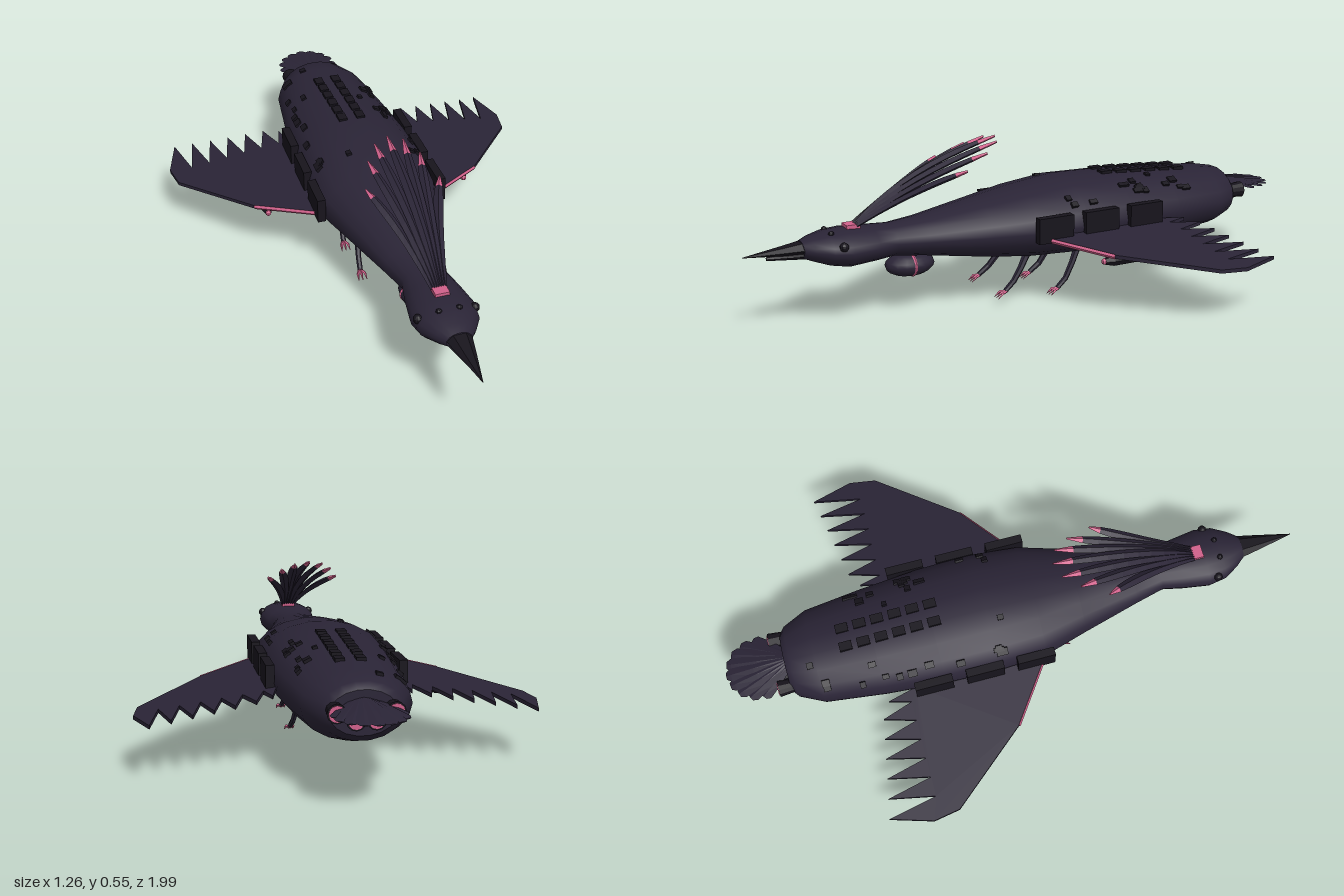
import * as THREE from 'three';

const mat = (color, flat = true) => new THREE.MeshStandardMaterial({ color, flatShading: flat, side: THREE.DoubleSide });
const plumage = mat(0x2a2436), smoothPlumage = mat(0x2a2436, false);
const dark = mat(0x17141c), pink = mat(0xd0608a);
const V = (x, y, z) => new THREE.Vector3(x, y, z);

function add(parent, name, geometry, material, x = 0, y = 0, z = 0) {
  const mesh = new THREE.Mesh(geometry, material);
  mesh.name = name;
  mesh.position.set(x, y, z);
  parent.add(mesh);
  return mesh;
}

// Skin a list of rings (counter-clockwise about the direction of travel), with end caps
function loft(rings) {
  const n = rings[0].length, pos = [], idx = [];
  rings.forEach(r => r.forEach(p => pos.push(p.x, p.y, p.z)));
  for (let i = 0; i < rings.length - 1; i++) {
    for (let j = 0; j < n; j++) {
      const a = i * n + j, b = i * n + (j + 1) % n;
      idx.push(a, b, b + n, a, b + n, a + n);
    }
  }
  [0, rings.length - 1].forEach((row, end) => {
    const base = pos.length / 3;
    rings[row].forEach(p => pos.push(p.x, p.y, p.z));
    for (let j = 1; j < n - 1; j++) {
      if (end) idx.push(base, base + j, base + j + 1);
      else idx.push(base, base + j + 1, base + j);
    }
  });
  const g = new THREE.BufferGeometry();
  g.setAttribute('position', new THREE.Float32BufferAttribute(pos, 3));
  g.setIndex(idx);
  g.computeVertexNormals();
  return g;
}

// Sweep an elliptical section along points; sizes are [halfWidth, halfHeight] per point
function sweep(points, sizes, sides = 4) {
  return loft(points.map((p, i) => {
    const t = points[Math.min(i + 1, points.length - 1)].clone().sub(points[Math.max(i - 1, 0)]).normalize();
    const u = V(0, 1, 0).cross(t).normalize(), v = t.clone().cross(u);
    return Array.from({ length: sides }, (_, j) => {
      const a = j / sides * Math.PI * 2;
      return p.clone().addScaledVector(u, Math.cos(a) * sizes[i][0]).addScaledVector(v, Math.sin(a) * sizes[i][1]);
    });
  }));
}

// Body sections from tail to head: z, half width, bottom, top
const SECTIONS = [
  [-0.8, 0.1, 0.19, 0.325], [-0.78, 0.125, 0.17, 0.345], [-0.7, 0.165, 0.148, 0.36], [-0.5, 0.19, 0.133, 0.375],
  [-0.3, 0.207, 0.127, 0.388], [-0.12, 0.212, 0.127, 0.392], [0.05, 0.2, 0.137, 0.372], [0.2, 0.155, 0.155, 0.348],
  [0.4, 0.1, 0.187, 0.315], [0.5, 0.075, 0.2, 0.306], [0.57, 0.09, 0.195, 0.309], [0.66, 0.104, 0.19, 0.314],
  [0.72, 0.095, 0.203, 0.31], [0.77, 0.065, 0.222, 0.3], [0.8, 0.04, 0.235, 0.29]
];
function sectionAt(z) {
  const i = Math.max(1, SECTIONS.findIndex(s => s[0] >= z));
  const a = SECTIONS[i - 1], b = SECTIONS[i], t = (z - a[0]) / (b[0] - a[0]);
  return a.map((v, k) => v + (b[k] - v) * t);
}
function hullPoint(z, angle) {
  const [, w, lo, hi] = sectionAt(z);
  return V(Math.cos(angle) * w, (lo + hi) / 2 + Math.sin(angle) * (hi - lo) / 2, z);
}

function buildBody(g) {
  const rings = SECTIONS.map(s => Array.from({ length: 18 }, (_, j) => hullPoint(s[0], j / 18 * Math.PI * 2)));
  add(g, 'body', loft(rings), smoothPlumage);

  // Beak, long above and short below
  add(g, 'upperBeak', sweep([V(0, 0.267, 0.79), V(0, 0.265, 0.86), V(0, 0.262, 0.985)], [[0.042, 0.022], [0.028, 0.014], [0.001, 0.001]], 6), dark);
  add(g, 'lowerBeak', sweep([V(0, 0.247, 0.79), V(0, 0.247, 0.91)], [[0.036, 0.016], [0.006, 0.006]], 6), dark);

  // Crop pod under the neck with a glowing band
  add(g, 'cropPod', new THREE.SphereGeometry(1, 16, 10), smoothPlumage, 0, 0.16, 0.435).scale.set(0.058, 0.04, 0.085);
  add(g, 'cropBand', new THREE.TorusGeometry(1, 0.06, 4, 20), pink, 0, 0.16, 0.435).scale.set(0.057, 0.04, 0.08);

  // Two rows of roof windows
  for (const x of [-0.032, 0.032]) {
    for (let i = 0; i < 6; i++) {
      const z = -0.59 + i * 0.06;
      add(g, 'roofWindow', new THREE.BoxGeometry(0.03, 0.012, 0.042), dark, x, sectionAt(z)[3] - 0.001, z);
    }
  }

  // Small plates scattered over the back
  let seed = 7;
  const rnd = () => (seed = (seed * 16807) % 2147483647) / 2147483647;
  for (let i = 0; i < 28; i++) {
    const side = i % 2 ? 1 : -1, angle = Math.PI / 2 - side * (0.35 + rnd() * 0.7), z = -0.72 + rnd() * 0.7;
    const p = hullPoint(z, angle);
    const plate = add(g, 'backPlate', new THREE.BoxGeometry(0.014 + rnd() * 0.012, 0.012, 0.015 + rnd() * 0.025), dark, p.x, p.y, p.z);
    plate.rotation.z = (angle - Math.PI / 2) * 0.7;
  }
}

function buildCrest(g) {
  add(g, 'crestBase', new THREE.BoxGeometry(0.046, 0.016, 0.045), pink, 0, 0.315, 0.632);
  for (let i = -3; i <= 3; i++) {
    const k = Math.abs(i) / 3, s = Math.sign(i);
    const tip = V(0.122 * s * Math.pow(k, 0.85), 0.55 - 0.075 * k * k, 0.12 + 0.16 * k * k);
    const curve = new THREE.QuadraticBezierCurve3(V(i * 0.007, 0.318, 0.62), V(i * 0.016, 0.475 - 0.06 * k, 0.45), tip);
    const pts = curve.getPoints(10);
    const sizes = [0.006, 0.009, 0.011, 0.013, 0.014, 0.015, 0.016, 0.016, 0.015, 0.012, 0.003].map(w => [w, w * 0.45 + 0.003]);
    add(g, 'crestFeather', sweep(pts.slice(0, 10), sizes.slice(0, 10)), plumage);
    add(g, 'crestTip', sweep(pts.slice(9), sizes.slice(9)), pink);
  }
}

function buildTail(g) {
  // Flat feather fan
  for (let i = -4; i <= 4; i++) {
    const a = i * 0.165, len = 0.235 - 0.0045 * i * i;
    const at = t => V(Math.sin(a) * len * t, 0.303 - 0.028 * t - Math.abs(i) * 0.0008, -0.765 - Math.cos(a) * len * t);
    add(g, 'tailFeather', sweep([at(0), at(0.6), at(0.93), at(1)], [[0.01, 0.004], [0.022, 0.004], [0.023, 0.003], [0.012, 0.002]]), plumage);
  }
  // Row of thrusters with glowing mouths
  for (const x of [-0.084, -0.029, 0.029, 0.084]) {
    const y = Math.abs(x) > 0.05 ? 0.268 : 0.245;
    const shell = add(g, 'thruster', new THREE.CylinderGeometry(0.022, 0.029, 0.07, 12), dark, x, y, -0.805);
    shell.rotation.x = Math.PI / 2;
    const glow = add(g, 'thrusterGlow', new THREE.CylinderGeometry(0.024, 0.024, 0.006, 12), pink, x, y, -0.84);
    glow.rotation.x = Math.PI / 2;
  }
}

// Everything that exists once on each side
function buildSide() {
  const g = new THREE.Group();
  const wingY = x => 0.237 - (x - 0.2) * 0.135;

  // Wing outline with pointed trailing feathers
  const outline = [[0.14, 0.08], [0.2, 0.045], [0.4, -0.1], [0.615, -0.36], [0.63, -0.45]];
  for (let i = 0; i < 6; i++) {
    const x = 0.588 - i * 0.064;
    outline.push([x, -0.59 + i * 0.012], [x - 0.034, -0.425]);
  }
  outline.push([0.215, -0.5], [0.19, -0.4], [0.14, -0.4]);
  const shape = new THREE.Shape(outline.map(([x, z]) => new THREE.Vector2(x, -z)));
  const wing = new THREE.ExtrudeGeometry(shape, { depth: 0.012, bevelEnabled: false }).rotateX(-Math.PI / 2);
  const p = wing.attributes.position;
  for (let i = 0; i < p.count; i++) p.setY(i, p.getY(i) - 0.006 + wingY(p.getX(i)));
  wing.computeVertexNormals();
  add(g, 'wing', wing, plumage);
  add(g, 'wingEdgeGlow', sweep([V(0.4, wingY(0.4), -0.1), V(0.2, wingY(0.2), 0.045)], [[0.005, 0.008], [0.005, 0.008]]), pink);

  // Pod hung beneath the wing
  add(g, 'wingPod', sweep([V(0.356, 0.184, -0.3), V(0.356, 0.184, -0.27), V(0.356, 0.184, -0.12), V(0.356, 0.184, -0.09)],
    [[0.009, 0.009], [0.019, 0.019], [0.019, 0.019], [0.011, 0.011]], 6), dark);
  add(g, 'wingPodGlow', new THREE.SphereGeometry(0.01, 8, 6), pink, 0.356, 0.184, -0.088);
  add(g, 'wingPylon', new THREE.BoxGeometry(0.008, 0.025, 0.1), dark, 0.356, 0.205, -0.2);

  // Flank hatches
  for (const z of [0.01, -0.165, -0.34]) {
    add(g, 'flankHatch', new THREE.BoxGeometry(0.028, 0.085, 0.128), dark, 0.21, 0.27, z);
  }

  // Eye and head stud
  add(g, 'eye', new THREE.SphereGeometry(0.015, 10, 8), dark, 0.09, 0.276, 0.69);
  add(g, 'headStud', new THREE.SphereGeometry(0.01, 8, 6), dark, 0.032, 0.306, 0.71);

  // Two bent legs with clawed feet
  for (const [z, y] of [[0.05, 0.022], [-0.15, 0]]) {
    const leg = [V(0.078, 0.15, z - 0.005), V(0.086, 0.1 + y * 0.5, z + 0.02), V(0.093, 0.05 + y, z + 0.05), V(0.098, 0.022 + y, z + 0.085)];
    add(g, 'leg', sweep(leg, [[0.013, 0.013], [0.011, 0.011], [0.009, 0.01], [0.009, 0.008]], 6), plumage);
    for (const dx of [-0.012, 0, 0.012]) {
      add(g, 'claw', sweep([V(0.098, 0.02 + y, z + 0.08), V(0.098 + dx, 0.018 + y, z + 0.1), V(0.098 + dx * 1.2, 0.003 + y, z + 0.118)],
        [[0.006, 0.006], [0.005, 0.005], [0.001, 0.001]]), pink);
    }
  }
  return g;
}

export function createModel() {
  const model = new THREE.Group();
  model.name = 'birdShip';
  buildBody(model);
  buildCrest(model);
  buildTail(model);
  const left = buildSide(), right = buildSide();
  left.name = 'leftSide';
  right.name = 'rightSide';
  right.scale.x = -1;
  model.add(left, right);
  return model;
}
